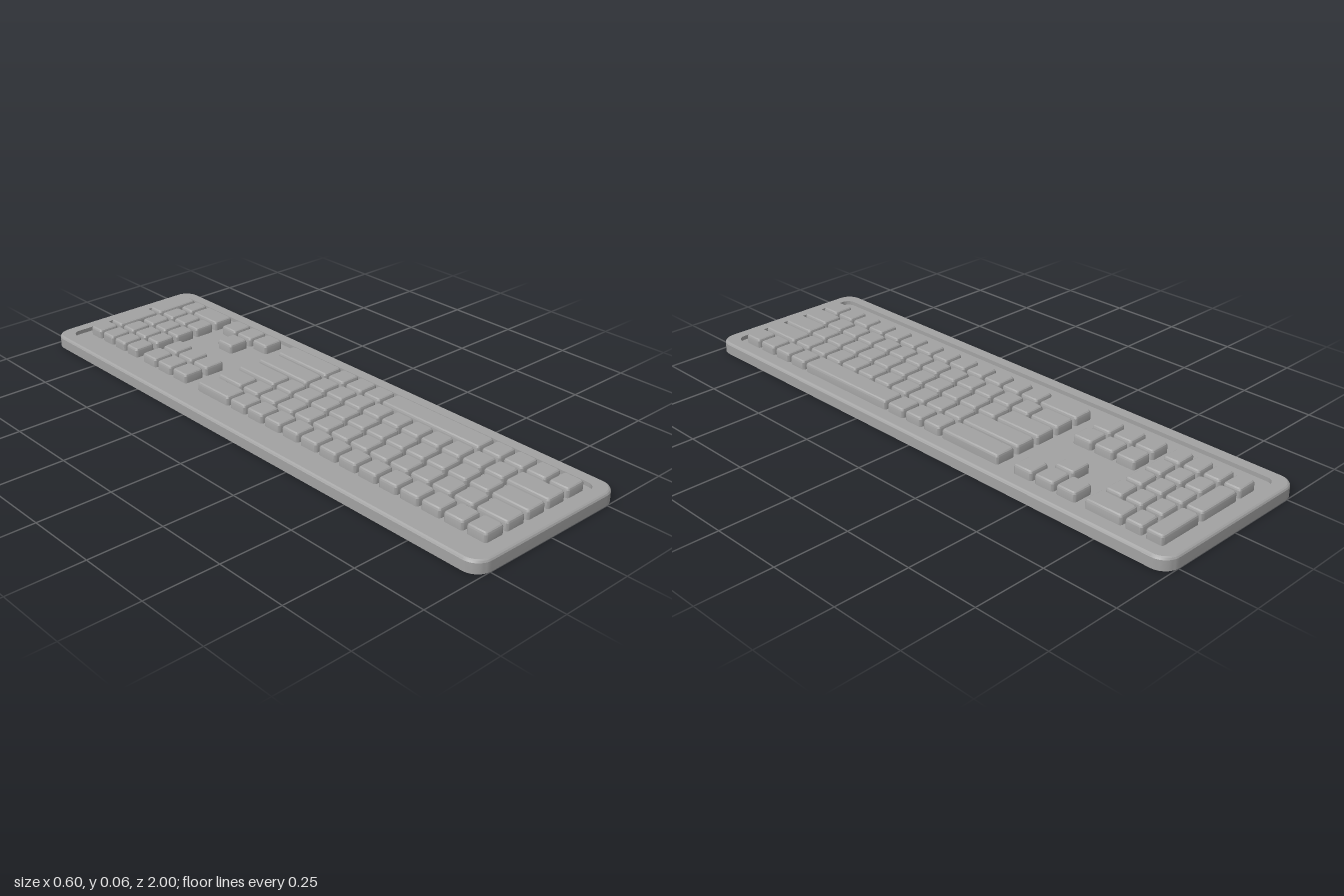
import * as THREE from 'three';
import { toCreasedNormals } from 'three/addons/utils/BufferGeometryUtils.js';

const material = new THREE.MeshStandardMaterial({ color: 0xa2a2a2 });
const FLOOR = 0.028, KEY_TOP = 0.06;
const ROW_PITCH = 0.0868, KEY_WIDTH = 0.075, UNIT = 0.0837, GAP = 0.012;
const rowX = (row) => -0.153 + row * ROW_PITCH;

// One closed outline of a rounded rectangle, counter-clockwise seen from above
function outline(w, d, r, y, steps) {
  const pts = [];
  for (let c = 0; c < 4; c++) {
    const sx = c === 0 || c === 3 ? 1 : -1, sz = c < 2 ? -1 : 1;
    for (let i = 0; i <= steps; i++) {
      const a = (c + i / steps) * Math.PI / 2;
      pts.push([sx * (w / 2 - r) + r * Math.cos(a), y, sz * (d / 2 - r) - r * Math.sin(a)]);
    }
  }
  return pts;
}

// Skins rounded-rectangle rings [inset, y, radius] from bottom to top and caps both ends
function loft(w, d, rings, steps) {
  const n = 4 * (steps + 1), pos = [], idx = [];
  rings.forEach(([inset, y, r]) =>
    pos.push(...outline(w - 2 * inset, d - 2 * inset, r, y, steps).flat()));
  const last = rings.length - 1, bottom = rings.length * n, top = bottom + 1;
  pos.push(0, rings[0][1], 0, 0, rings[last][1], 0);
  for (let i = 0; i < n; i++) {
    const j = (i + 1) % n;
    for (let k = 0; k < last; k++) {
      const a = k * n + i, b = k * n + j;
      idx.push(a, b, b + n, a, b + n, a + n);
    }
    idx.push(bottom, j, i, top, last * n + i, last * n + j);
  }
  const g = new THREE.BufferGeometry();
  g.setAttribute('position', new THREE.Float32BufferAttribute(pos, 3));
  g.setIndex(idx);
  return toCreasedNormals(g, 0.42);
}

function addKey(group, name, x, z, w, d) {
  const rings = [
    [0, FLOOR - 0.004, 0.009],
    [0, KEY_TOP - 0.008, 0.009],
    [0.002, KEY_TOP - 0.003, 0.008],
    [0.006, KEY_TOP, 0.006],
  ];
  const key = new THREE.Mesh(loft(w, d, rings, 4), material);
  key.name = name;
  key.position.set(x, 0, z);
  group.add(key);
}

function makeGroup(parent, name) {
  const g = new THREE.Group();
  g.name = name;
  parent.add(g);
  return g;
}

export function createModel() {
  const model = new THREE.Group();
  model.name = 'keyboard';

  // Case: softened top edge, raised rim and sunken tray
  const caseRings = [
    [0, 0, 0.055],
    [0, 0.034, 0.055],
    [0.003, 0.039, 0.052],
    [0.008, 0.042, 0.047],
    [0.045, 0.042, 0.03],
    [0.045, FLOOR, 0.03],
  ];
  const body = new THREE.Mesh(loft(0.6, 2, caseRings, 10), material);
  body.name = 'case';
  model.add(body);

  // Main block: key lengths per row in units, starting from the +z end
  const ones = (n) => Array(n).fill(1);
  const rows = [
    [...ones(13), 2],
    [1.5, ...ones(12), 1.5],
    [1.75, ...ones(11), 2.25],
    [2, ...ones(10), 3],
    [...ones(4), 5, ...ones(3), 3],
  ];
  const main = makeGroup(model, 'mainKeys');
  rows.forEach((lengths, row) => {
    let z = 0.936;
    lengths.forEach((u) => {
      const name = u === 5 ? 'spaceBar' : u > 1 ? 'wideKey' : 'key';
      addKey(main, name, rowX(row), z - u * UNIT / 2, KEY_WIDTH, u * UNIT - GAP);
      z -= u * UNIT;
    });
  });

  // Navigation cluster and arrow keys: columns present in each row
  const nav = makeGroup(model, 'navigationKeys');
  [[0, 1, 2], [0, 1, 2], [], [1], [0, 1, 2]].forEach((columns, row) => {
    columns.forEach((c) =>
      addKey(nav, row < 2 ? 'navigationKey' : 'arrowKey',
        rowX(row), -0.414 - c * 0.084, KEY_WIDTH, 0.072));
  });

  // Number pad: [first row, row span, first column, column span]
  const pad = makeGroup(model, 'numberPad');
  const padKeys = [[4, 1, 0, 2], [4, 1, 2, 1], [0, 1, 3, 1], [1, 2, 3, 1], [3, 2, 3, 1]];
  for (let row = 0; row < 4; row++)
    for (let c = 0; c < 3; c++) padKeys.push([row, 1, c, 1]);
  padKeys.forEach(([row, rs, c, cs]) =>
    addKey(pad, 'numberKey',
      rowX(row + (rs - 1) / 2), -0.684 - (c + (cs - 1) / 2) * 0.072,
      KEY_WIDTH + (rs - 1) * ROW_PITCH, 0.06 + (cs - 1) * 0.072));

  return model;
}
